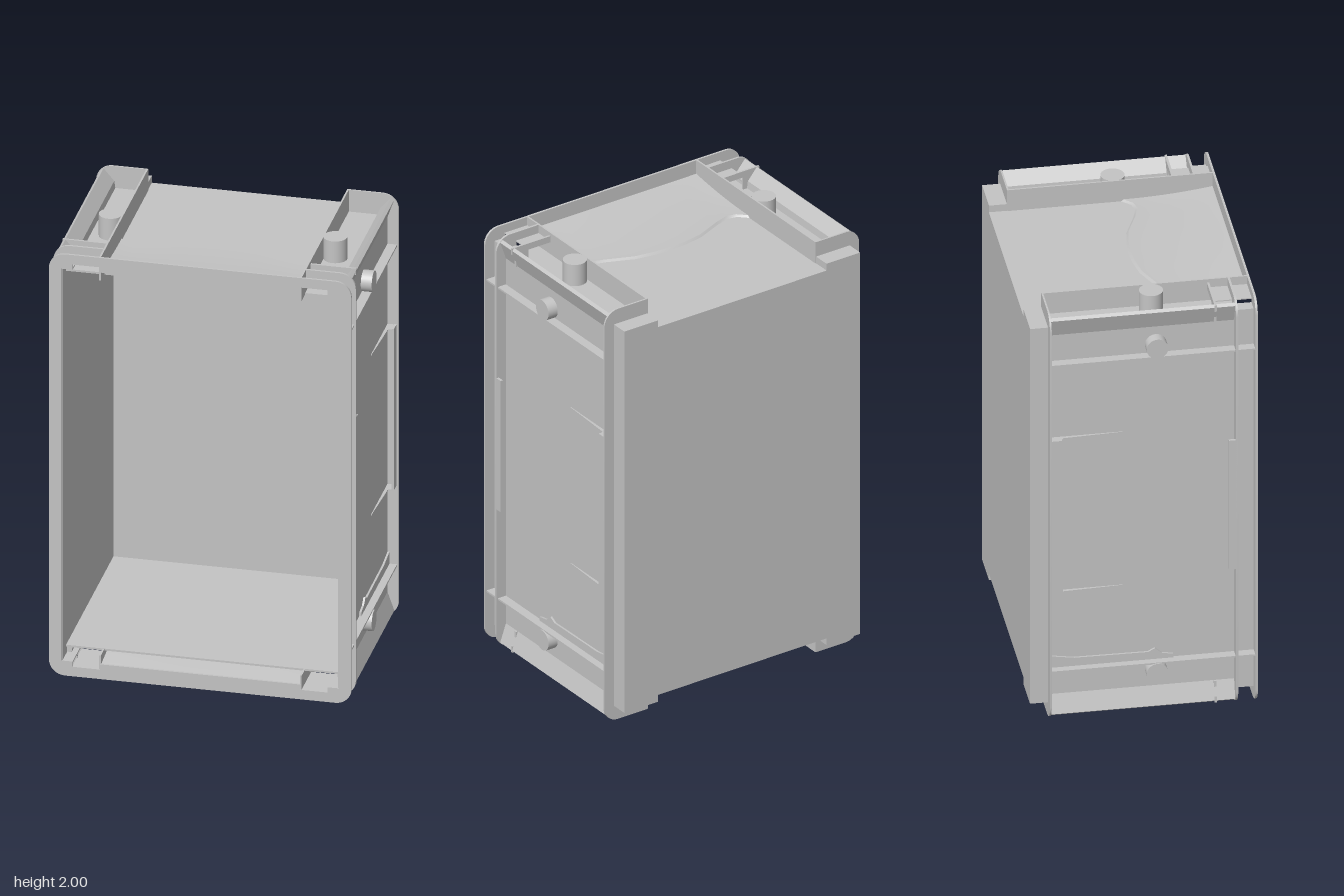
import * as THREE from 'three';
import { toCreasedNormals } from 'three/addons/utils/BufferGeometryUtils.js';

export function createModel() {
  const model = new THREE.Group();
  const body = new THREE.Group(); // built around its own middle, then lifted
  body.name = 'electricalBox';
  body.position.y = 1;
  model.add(body);

  const grey = new THREE.MeshStandardMaterial({ color: 0xc4c4c4, side: THREE.DoubleSide });
  grey.name = 'grey plastic';

  const add = (name, geo) => {
    const mesh = new THREE.Mesh(geo, grey);
    mesh.name = name;
    body.add(mesh);
    return mesh;
  };
  // Box from bounds; sx and sy mirror it
  const box = (name, x0, x1, y0, y1, z0, z1, sx = 1, sy = 1) =>
    add(name, new THREE.BoxGeometry(x1 - x0, y1 - y0, z1 - z0))
      .position.set(sx * (x0 + x1) / 2, sy * (y0 + y1) / 2, (z0 + z1) / 2);
  const toPoints = (pts, sx = 1, sy = 1) => pts.map(([x, y]) => new THREE.Vector2(x * sx, y * sy));
  const mirrorAll = (pts) => { // first-quadrant outline to closed outline
    const flip = (sx, sy) => pts.map(([x, y]) => [x * sx, y * sy]);
    return [...flip(1, 1), ...flip(-1, 1).reverse(), ...flip(-1, -1), ...flip(1, -1).reverse()];
  };
  const plate = (name, outer, hole, z0, z1, sx = 1, sy = 1) => {
    const shape = new THREE.Shape(toPoints(outer, sx, sy));
    if (hole) shape.holes.push(new THREE.Path(toPoints(hole)));
    const geo = new THREE.ExtrudeGeometry(shape, { depth: z1 - z0, bevelEnabled: false });
    geo.translate(0, 0, z0);
    return add(name, toCreasedNormals(geo, 0.5));
  };
  const roundCorner = (w, h, r) => Array.from({ length: 9 }, (_, i) => {
    const a = i / 8 * Math.PI / 2;
    return [w - r + r * Math.cos(a), h - r + r * Math.sin(a)];
  });
  const corner = roundCorner(0.664, 1, 0.07);

  // Inner container
  plate('containerShell', mirrorAll([[0.615, 0.897]]), mirrorAll([[0.605, 0.888]]), -0.48, 0.42);
  box('backPanel', -0.615, 0.615, -0.897, 0.897, -0.49, -0.475);

  // Front rim, its opening notched beside the corner posts
  const notch = [[0.61, 0.93], [0.56, 0.93], [0.56, 0.955], [0.44, 0.955], [0.44, 0.93]];
  plate('frontRim', mirrorAll(corner), mirrorAll(notch), 0.48, 0.49);

  // Finger ramp following a wavy edge
  const wave = [[0, 0.04], [0.08, 0.045], [0.17, 0.06], [0.29, 0.11], [0.355, 0.13], [0.4, 0.12], [0.44, 0.08]];
  const edge = [...wave.slice(1).map(([x, z]) => [-x, z]).reverse(), ...wave];
  const ramp = (sy) => {
    const pos = [], idx = [], rows = 12;
    edge.forEach(([x, z]) => {
      pos.push(x, sy * 0.897, z);
      for (let j = 0; j < rows; j++) {
        const t = j / (rows - 1);
        pos.push(x, sy * (0.906 + 0.029 * t * t), z + 0.01 + (0.475 - z) * t);
      }
    });
    const n = rows + 1;
    for (let i = 0; i < edge.length - 1; i++)
      for (let j = 0; j < rows; j++) {
        const a = i * n + j, b = a + 1, c = a + n, d = c + 1;
        if (sy > 0) idx.push(a, b, c, b, d, c);
        else idx.push(a, c, b, b, c, d);
      }
    const geo = new THREE.BufferGeometry();
    geo.setAttribute('position', new THREE.Float32BufferAttribute(pos, 3));
    geo.setIndex(idx);
    add('fingerRamp', toCreasedNormals(geo, 0.5));
  };
  ramp(1);
  ramp(-1);

  for (const sx of [1, -1]) {
    // Side wall and the channel behind the rim
    box('frontSideWall', 0.605, 0.615, -0.935, 0.935, 0.3, 0.485, sx);
    const bracket = (win) => {
      const half = [...corner, ...(win
        ? [[0.44, 1], [0.44, 0.955], [0.56, 0.955], [0.56, 0.93], [0.61, 0.93]]
        : [[0.44, 1], [0.44, 0.895], [0.61, 0.895]])];
      return [...half, ...half.map(([x, y]) => [x, -y]).reverse()];
    };
    plate('rimRib', bracket(true), null, 0.395, 0.405, sx);
    plate('rearFlange', bracket(false), null, -0.412, -0.404, sx);

    // Side clips
    box('frontClipLip', 0.652, 0.664, -0.32, 0.32, 0.365, 0.4, sx);
    box('rearClipLip', 0.645, 0.655, -0.38, 0.385, -0.408, -0.355, sx);

    for (const sy of [1, -1]) {
      // Corner pocket walls
      box('pocketWall', 0.437, 0.445, 0.89, 1, -0.41, 0.485, sx, sy);
      box('rearLedge', 0.44, 0.615, 0.89, 0.93, -0.49, -0.405, sx, sy);
      box('sideShelf', 0.61, 0.657, 0.755, 0.763, -0.408, 0.485, sx, sy);
      box('pocketRibTop', 0.44, 0.645, 0.955, 0.985, 0.306, 0.316, sx, sy);
      box('pocketRibSide', 0.56, 0.625, 0.89, 0.956, 0.306, 0.316, sx, sy);
      box('pocketRoof', 0.44, 0.563, 0.955, 0.96, 0.31, 0.485, sx, sy);
      box('pocketRoofStep', 0.56, 0.615, 0.93, 0.937, 0.31, 0.485, sx, sy);

      // Diagonal corner strut
      plate('cornerStrut', [[0.58, 0.895], [0.585, 0.93], [0.632, 0.985], [0.645, 0.975], [0.615, 0.89]],
        null, -0.408, 0.4, sx, sy);

      // Posts
      const top = add('endPost', new THREE.CylinderGeometry(0.052, 0.052, 0.107, 32));
      top.position.set(sx * 0.493, sy * 0.9465, 0.055);
      const side = add('sidePost', new THREE.CylinderGeometry(0.047, 0.047, 0.053, 32));
      side.rotation.z = Math.PI / 2;
      side.position.set(sx * 0.6365, sy * 0.805, 0.055);

      // Wavy moulding below the side shelf
      const moulding = new THREE.Shape(toPoints([[-0.13, 0.757], [-0.13, 0.737], [-0.08, 0.728], [-0.05, 0.702],
        [-0.02, 0.718], [0.3, 0.715], [0.405, 0.698], [0.405, 0.757]], 1, sy));
      const strip = add('sideMoulding', new THREE.ExtrudeGeometry(moulding, { depth: 0.012, bevelEnabled: false }));
      strip.rotation.y = Math.PI / 2;
      strip.position.x = sx > 0 ? 0.612 : -0.624;

      // Thin tapering fins beside the rear clip: outline runs (-z, x), thickness along y
      const fin = new THREE.Shape(toPoints([[0.09, 0.612], [0.408, 0.612], [0.408, 0.65], [0.355, 0.65], [0.35, 0.63], [0.09, 0.618]], 1, sx));
      const finGeo = new THREE.ExtrudeGeometry(fin, { depth: 0.006, bevelEnabled: false });
      finGeo.applyMatrix4(new THREE.Matrix4().makeBasis(
        new THREE.Vector3(0, 0, -1), new THREE.Vector3(1, 0, 0), new THREE.Vector3(0, -1, 0)));
      add('clipFin', finGeo).position.y = sy * 0.38 + 0.003;
    }
  }
  return model;
}
